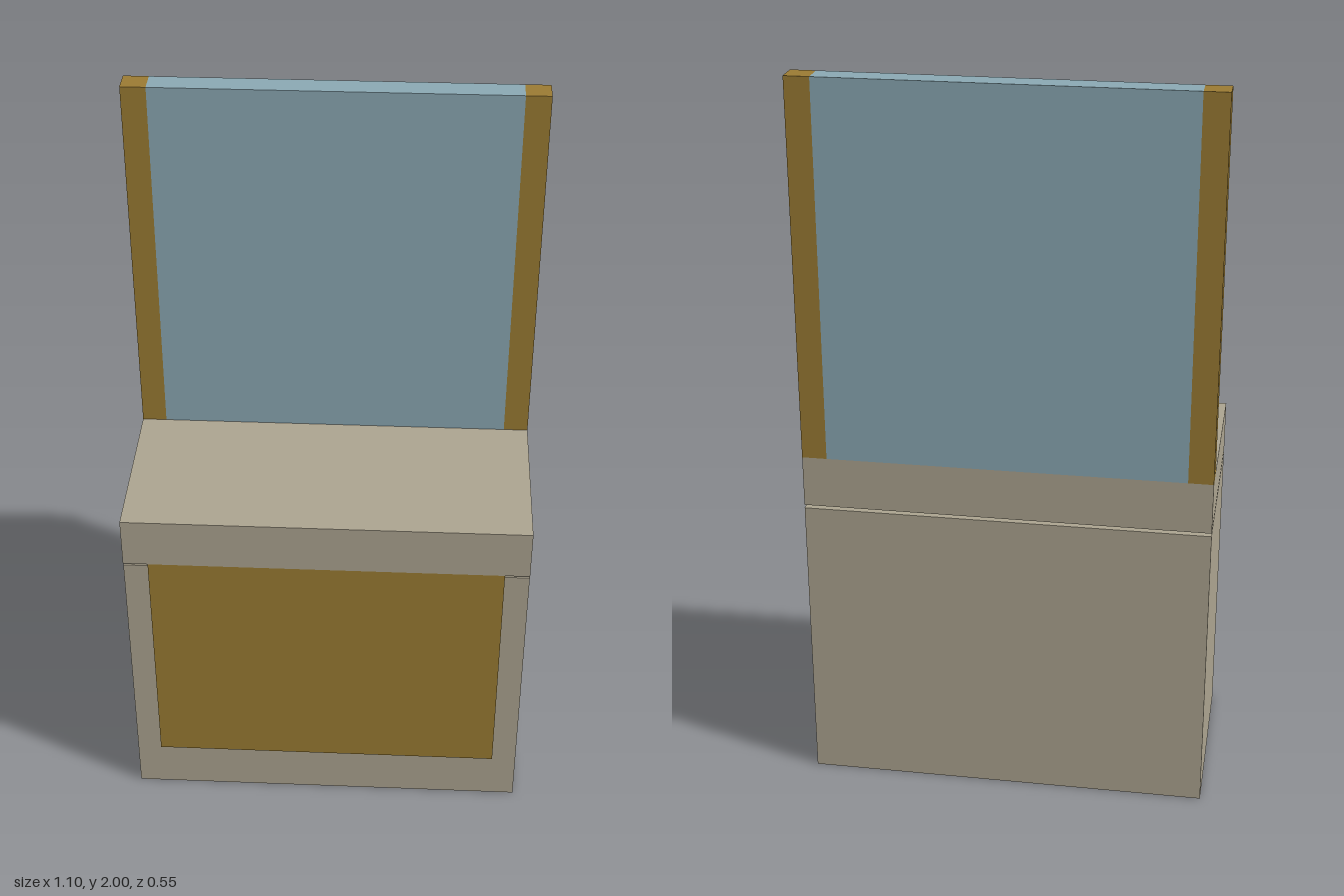
import * as THREE from 'three';

const material = (name, color) => {
  const m = new THREE.MeshStandardMaterial({ color });
  m.name = name;
  return m;
};

export function createModel() {
  const stone = material('beige stone', 0xaca490);
  const wood = material('ochre wood', 0x9a7b33);
  const glass = material('blue mirror glass', 0x8aa8b3);
  const model = new THREE.Group();
  model.name = 'washstand';

  // Adds a box given its extents along each axis
  const addBox = (name, mat, [x0, x1], [y0, y1], [z0, z1]) => {
    const mesh = new THREE.Mesh(new THREE.BoxGeometry(x1 - x0, y1 - y0, z1 - z0), mat);
    mesh.position.set((x0 + x1) / 2, (y0 + y1) / 2, (z0 + z1) / 2);
    mesh.name = name;
    model.add(mesh);
  };

  const W = 0.549, D = 0.274, inner = 0.482;

  // Cabinet with a front panel that reaches up to the counter, leaving a thin gap around it
  addBox('cabinet', stone, [-W, W], [0, 0.82], [-D, 0.269]);
  addBox('frontPanel', wood, [-inner, inner], [0.14, 0.829], [0.208, D]);
  addBox('counter', stone, [-W, W], [0.829, 0.97], [-D, D]);

  // Mirror between two posts at the back edge
  const back = [-D, -0.207], height = [0.97, 2];
  addBox('mirror', glass, [-inner, inner], height, back);
  addBox('rightPost', wood, [-W, -inner], height, back);
  addBox('leftPost', wood, [inner, W], height, back);

  return model;
}
